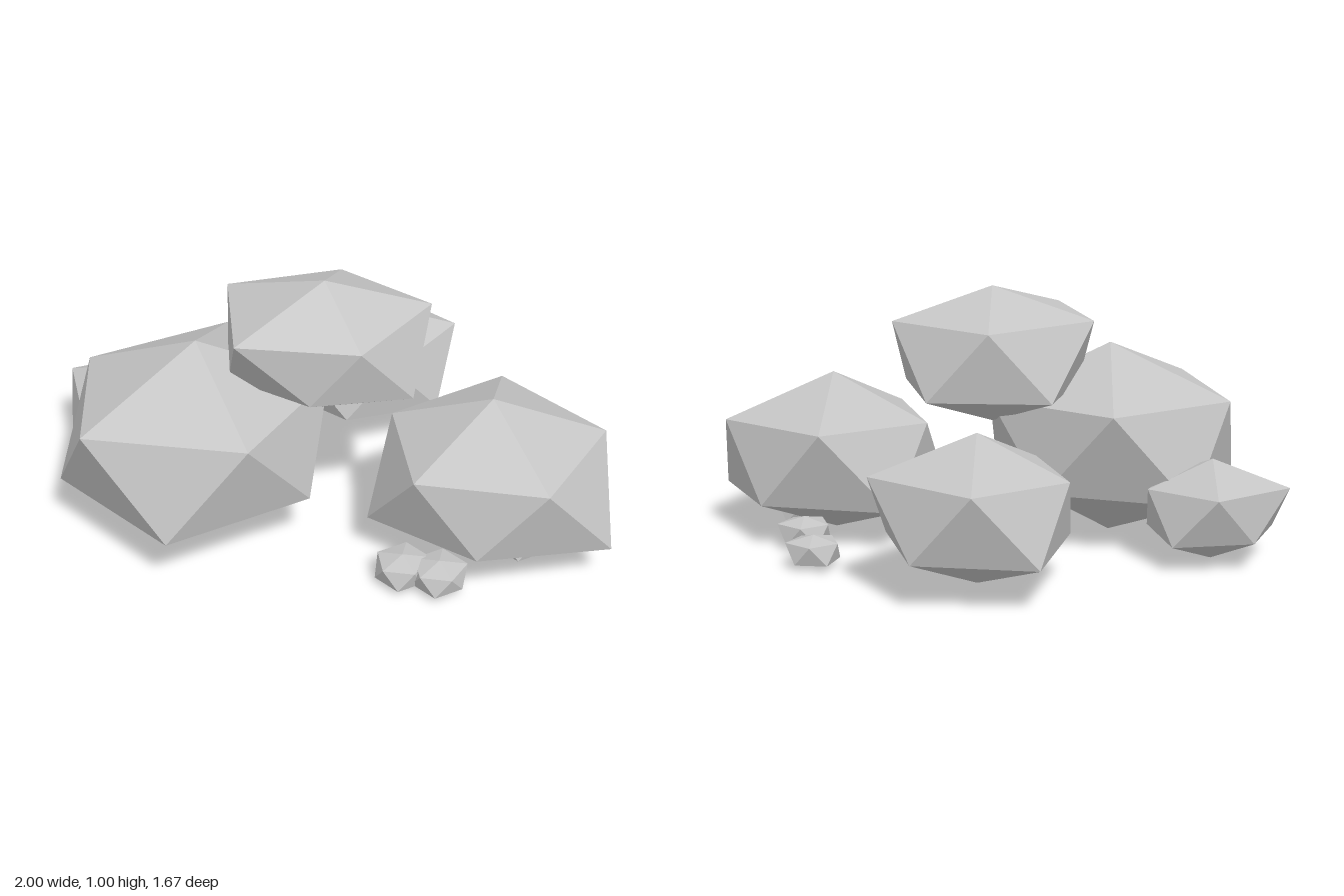
import * as THREE from 'three';

const stone = new THREE.MeshStandardMaterial({ color: 0xc4c4c4, flatShading: true });
stone.name = 'light grey stone';

const SQUASH = 0.7; // height of a rock compared with its width

// Uneven squashed icosahedron: apex, two staggered rings of five, foot.
// upper and lower hold the horizontal reach of each ring corner.
function rockGeometry(top, bottom, upper, lower) {
  const points = [0, top, 0];
  [[upper, 0, 1], [lower, 0.5, -1]].forEach(([ring, shift, side]) => {
    ring.forEach((r, i) => {
      const a = ((i + shift) * Math.PI * 2) / 5;
      points.push(r * Math.cos(a), (side * r * SQUASH) / 2, r * Math.sin(a));
    });
  });
  points.push(0, -bottom, 0);

  const faces = [];
  for (let i = 0; i < 5; i++) {
    const j = (i + 1) % 5;
    const u = 1 + i, un = 1 + j, l = 6 + i, ln = 6 + j;
    faces.push(0, un, u, u, un, l, l, un, ln, 11, l, ln);
  }
  const indexed = new THREE.BufferGeometry();
  indexed.setAttribute('position', new THREE.Float32BufferAttribute(points, 3));
  indexed.setIndex(faces);
  const geometry = indexed.toNonIndexed();
  geometry.computeVertexNormals();
  return geometry;
}

// Boulders: centre, rise to apex, drop to foot, ring reaches
const boulders = [
  { name: 'largeLeftBoulder', at: [-0.47, 0.39, 0.11], top: 0.375, bottom: 0.385,
    upper: [0.49, 0.475, 0.535, 0.484, 0.507], lower: [0.475, 0.51, 0.53, 0.515, 0.44] },
  { name: 'frontBoulder', at: [0.57, 0.32, 0.45], top: 0.32, bottom: 0.315,
    upper: [0.43, 0.4, 0.405, 0.4, 0.444], lower: [0.49, 0.37, 0.45, 0.457, 0.413] },
  { name: 'backBoulder', at: [0.23, 0.3, -0.47], top: 0.27, bottom: 0.28,
    upper: [0.395, 0.294, 0.347, 0.345, 0.38], lower: [0.355, 0.31, 0.35, 0.39, 0.365] },
  { name: 'topBoulder', at: [0, 0.74, 0.15], top: 0.26, bottom: 0.27,
    upper: [0.395, 0.3, 0.434, 0.41, 0.357], lower: [0.365, 0.285, 0.355, 0.4, 0.395] },
  { name: 'smallBackBoulder', at: [-0.71, 0.2, -0.37], top: 0.19, bottom: 0.195,
    upper: [0.257, 0.25, 0.25, 0.293, 0.276], lower: [0.25, 0.25, 0.25, 0.24, 0.27] },
];

// Pebbles: x and z on the ground
const pebbles = [
  [0.75, -0.06], [0.74, 0.2], [0.69, 0.52], [0.345, 0.695], [0.22, 0.64], [-0.82, -0.14],
];

export function createModel() {
  const group = new THREE.Group();
  group.name = 'rockPile';

  for (const b of boulders) {
    const mesh = new THREE.Mesh(rockGeometry(b.top, b.bottom, b.upper, b.lower), stone);
    mesh.name = b.name;
    mesh.position.set(...b.at);
    group.add(mesh);
  }

  const pebble = rockGeometry(0.06, 0.06, [0.105, 0.095, 0.1, 0.1, 0.106], [0.095, 0.1, 0.1, 0.105, 0.1]);
  pebbles.forEach(([x, z], i) => {
    const mesh = new THREE.Mesh(pebble, stone);
    mesh.name = `pebble${i + 1}`;
    mesh.position.set(x, 0.065, z);
    group.add(mesh);
  });
  return group;
}
